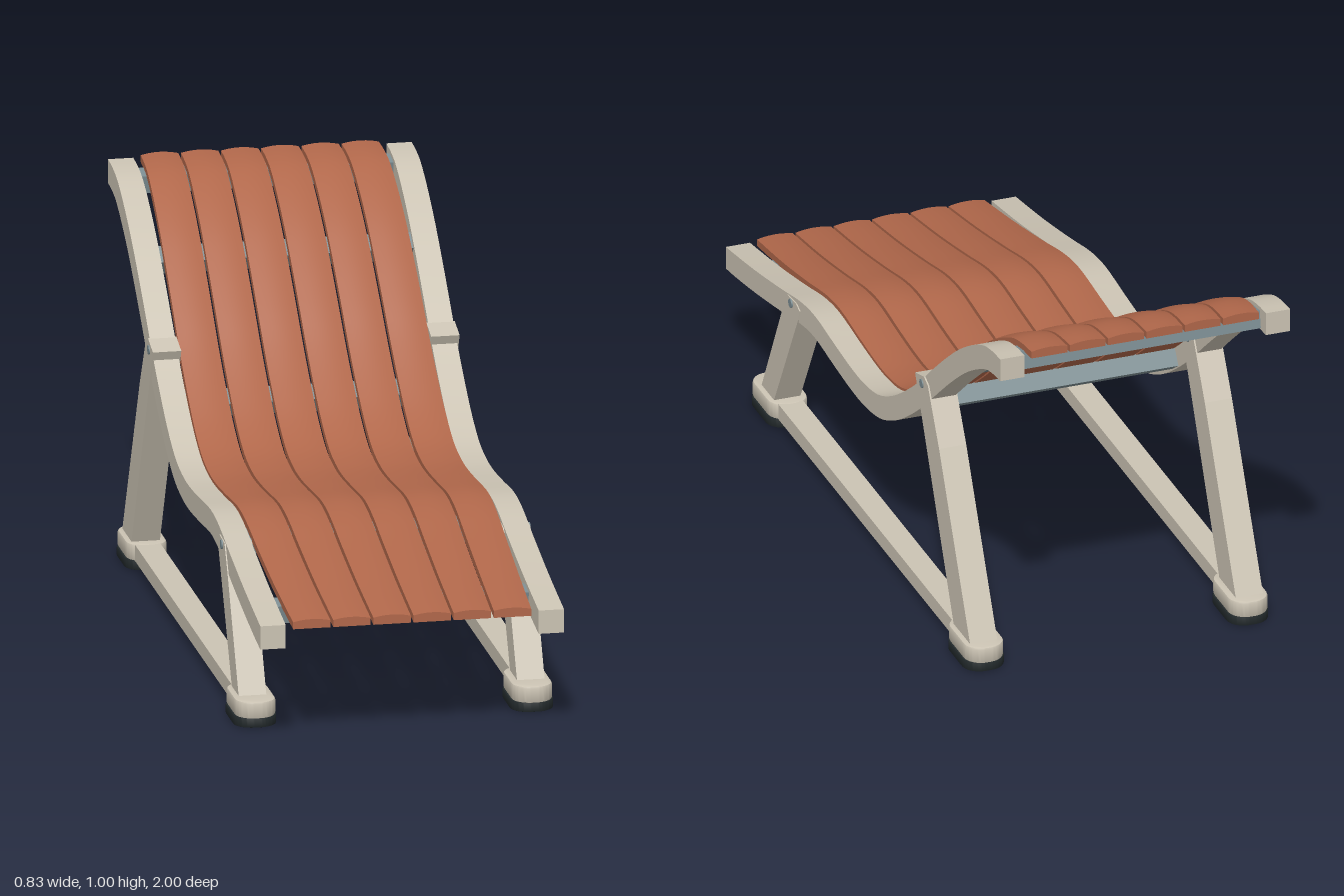
import * as THREE from 'three';
import { toCreasedNormals, mergeVertices } from 'three/addons/utils/BufferGeometryUtils.js';

const mat = (name, color) => {
  const m = new THREE.MeshStandardMaterial({ color });
  m.name = name;
  return m;
};

// Lounging curve (top of the slats), from foot end to head end, as (z, y)
const lounge = new THREE.CatmullRomCurve3([
  [1, 0.345], [0.8, 0.38], [0.6, 0.422], [0.45, 0.456], [0.35, 0.465], [0.2, 0.453],
  [0.08, 0.445], [0, 0.446], [-0.1, 0.462], [-0.2, 0.506], [-0.3, 0.57], [-0.4, 0.645],
  [-0.5, 0.73], [-0.6, 0.812], [-0.7, 0.887], [-0.8, 0.948], [-0.88, 0.985], [-0.94, 0.998], [-1, 1.003],
].map(([z, y]) => new THREE.Vector3(0, y, z)), false, 'centripetal');

const frames = [];
const STEPS = 72;
for (let i = 0; i <= STEPS; i++) {
  const p = lounge.getPoint(i / STEPS), t = lounge.getTangent(i / STEPS);
  frames.push({ z: p.z, y: p.y, nz: t.y, ny: -t.z });
}

// Sweeps a counterclockwise (x, normal offset) section along the lounging curve
function sweep(section) {
  const pos = [], index = [];
  const n = section(0).length;
  frames.forEach(f => section(f.z).forEach(([x, o]) => {
    pos.push(x, f.y + f.ny * o, THREE.MathUtils.clamp(f.z + f.nz * o, -1, 1));
  }));
  // the end cuts are vertical
  [0, STEPS].forEach(k => {
    for (let j = 0; j < n; j++) pos[(k * n + j) * 3 + 2] = k ? -1 : 1;
  });
  for (let i = 0; i < STEPS; i++) {
    for (let j = 0; j < n; j++) {
      const a = i * n + j, a2 = i * n + (j + 1) % n;
      index.push(a, a + n, a2 + n, a, a2 + n, a2);
    }
  }
  const e = STEPS * n;
  for (let j = 1; j < n - 1; j++) index.push(0, j, j + 1, e, e + j + 1, e + j);
  const g = new THREE.BufferGeometry();
  g.setAttribute('position', new THREE.Float32BufferAttribute(pos, 3));
  g.setIndex(index);
  return toCreasedNormals(g, 0.5);
}

// Flat plate with a (z, y) outline, centred on x
function sidePlate(outline, width, x) {
  const shape = new THREE.Shape(outline.map(([z, y]) => new THREE.Vector2(z, y)));
  const g = new THREE.ExtrudeGeometry(shape, { depth: width, bevelEnabled: false });
  return g.translate(0, 0, -width / 2).rotateY(-Math.PI / 2).translate(x, 0, 0);
}

// Upright block with rounded corners in plan and a small bevel
function roundedPad(w, l, r, h, bevel) {
  const a = w / 2 - bevel, b = l / 2 - bevel;
  const s = new THREE.Shape();
  s.moveTo(a, -b + r);
  s.lineTo(a, b - r);
  s.absarc(a - r, b - r, r, 0, Math.PI / 2);
  s.absarc(-a + r, b - r, r, Math.PI / 2, Math.PI);
  s.absarc(-a + r, -b + r, r, Math.PI, Math.PI * 1.5);
  s.absarc(a - r, -b + r, r, Math.PI * 1.5, Math.PI * 2);
  const g = new THREE.ExtrudeGeometry(s, {
    depth: h - 2 * bevel, bevelEnabled: true, bevelSize: bevel,
    bevelThickness: bevel, bevelSegments: 2, curveSegments: 8,
  });
  g.translate(0, 0, bevel).rotateX(-Math.PI / 2);
  g.deleteAttribute('uv');
  g.deleteAttribute('normal');
  return toCreasedNormals(mergeVertices(g), 0.6);
}

export function createModel() {
  const model = new THREE.Group();
  model.name = 'sunLounger';
  const wood = mat('reddish wood', 0xb0674a);
  const frame = mat('warm grey frame', 0xcbc3b3);
  const steel = mat('blue grey metal', 0x7c8d92);
  const rubber = mat('dark rubber', 0x22292b);

  const add = (name, geometry, material, parent = model) => {
    const m = new THREE.Mesh(geometry, material);
    m.name = name;
    parent.add(m);
    return m;
  };

  // Six crowned slats, drawn slightly together at both ends
  const pitch = 0.1105, half = 0.0515, crown = 6;
  for (let i = 0; i < 6; i++) {
    const cx = (i - 2.5) * pitch;
    add('slat' + (i + 1), sweep(z => {
      const s = 1 - 0.055 * z * z;
      const pts = [[(cx - half) * s, -0.025], [(cx + half) * s, -0.025]];
      for (let k = 0; k <= crown; k++) {
        const u = 1 - 2 * k / crown;
        pts.push([(cx + u * half) * s, -0.006 * u * u]);
      }
      return pts;
    }), wood);
  }

  // Cross bars under the slats
  [0.85, 0.49, 0.08, -0.3, -0.64, -0.92].forEach((z, i) => {
    const f = frames.reduce((a, b) => Math.abs(b.z - z) < Math.abs(a.z - z) ? b : a);
    const bar = add('crossBar' + (i + 1), new THREE.BoxGeometry(0.68, 0.048, 0.052), steel);
    bar.position.set(0, f.y - f.ny * 0.047, f.z - f.nz * 0.047);
    bar.rotation.x = Math.atan2(f.nz, f.ny);
  });

  // Both side frames
  [['left', 1], ['right', -1]].forEach(([label, s]) => {
    const side = new THREE.Group();
    side.name = label + 'SideFrame';
    model.add(side);
    const x = 0.362 * s;

    add('curvedRail', sweep(() => [
      [x - 0.033, -0.075], [x + 0.033, -0.075], [x + 0.033, -0.012], [x - 0.033, -0.012],
    ]), frame, side);
    add('frontLeg', sidePlate([
      [0.735, 0.06], [0.645, 0.06], [0.465, 0.385], [0.455, 0.415], [0.48, 0.425], [0.545, 0.42], [0.585, 0.35],
    ], 0.072, x), frame, side);
    add('rearLeg', sidePlate([
      [-0.675, 0.06], [-0.795, 0.06], [-0.565, 0.52], [-0.483, 0.662], [-0.455, 0.674], [-0.39, 0.655], [-0.418, 0.595],
    ], 0.074, x), frame, side);
    const beam = add('baseBeam', new THREE.BoxGeometry(0.066, 0.043, 1.5), frame, side);
    beam.position.set(x, 0.0465, -0.015);

    // Foot blocks with rubber pads
    [0.7, -0.73].forEach(z => {
      const block = add('footBlock', roundedPad(0.106, 0.19, 0.042, 0.045, 0.006), frame, side);
      block.position.set(0.36 * s, 0.024, z);
      const pad = add('rubberFoot', roundedPad(0.112, 0.184, 0.045, 0.026, 0.003), rubber, side);
      pad.position.set(0.36 * s, 0, z);
    });

    // Bolts through the leg tops
    [[0.515, 0.41], [-0.44, 0.648]].forEach(([z, y]) => {
      const bolt = add('bolt', new THREE.CylinderGeometry(0.012, 0.012, 0.08, 16).rotateZ(Math.PI / 2), steel, side);
      bolt.position.set(x, y, z);
    });
  });

  return model;
}
